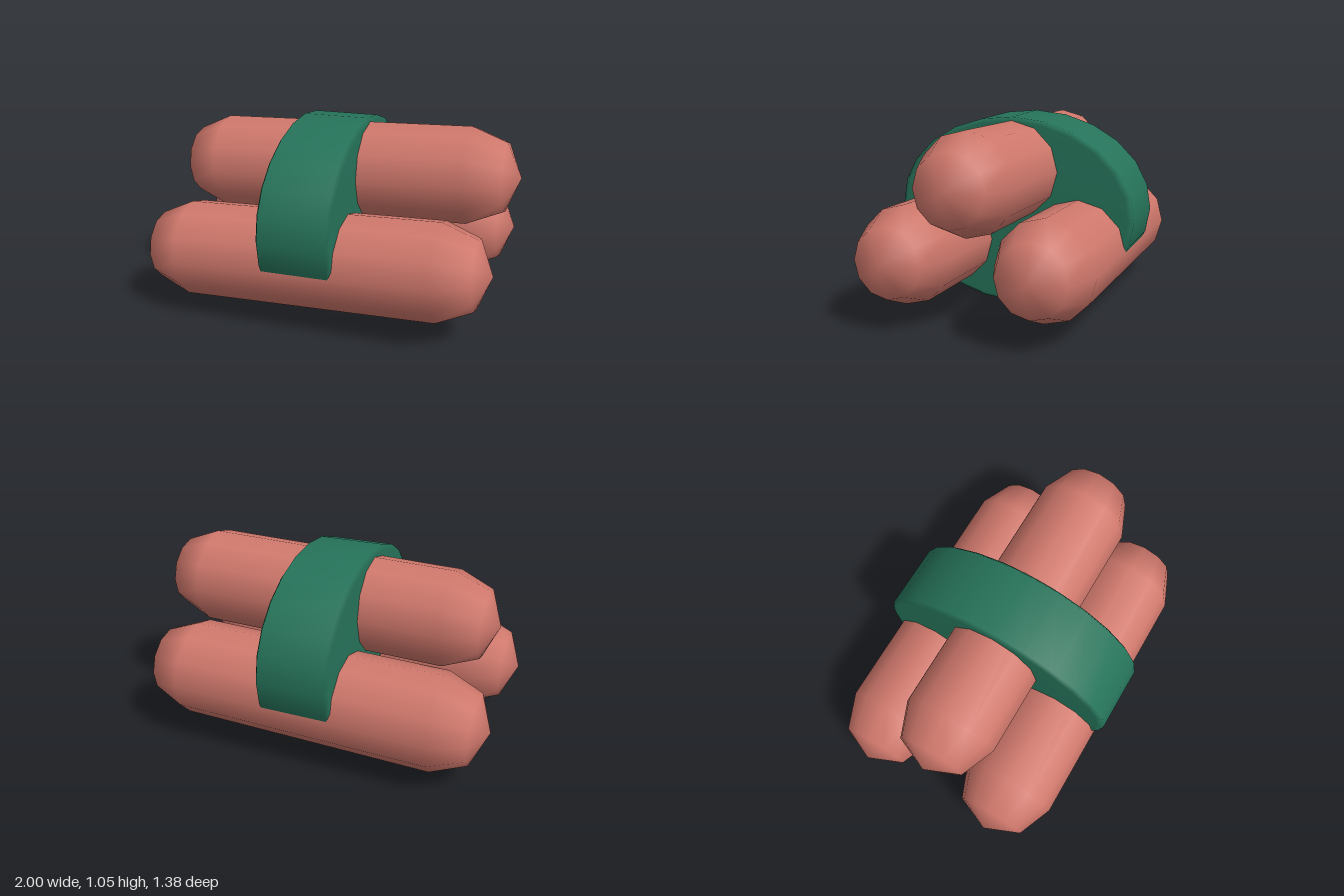
import * as THREE from 'three';

export function createModel() {
  const group = new THREE.Group();
  const salmon = new THREE.MeshStandardMaterial({ color: 0xd0786c });
  salmon.name = 'salmon';
  const green = new THREE.MeshStandardMaterial({ color: 0x26735a });
  green.name = 'green';

  // Three rounded rolls, stacked in a triangle and slightly raised at the left end
  const rollGeometry = new THREE.CapsuleGeometry(0.266, 1.405, 2, 12);
  rollGeometry.rotateZ(-Math.PI / 2);
  const rolls = [
    ['frontRoll', -0.032, 0.355, 0.385],
    ['backRoll', -0.032, 0.355, -0.385],
    ['topRoll', 0.03, 0.765, 0],
  ];
  for (const [name, x, y, z] of rolls) {
    const roll = new THREE.Mesh(rollGeometry, salmon);
    roll.name = name;
    roll.position.set(x, y, z);
    roll.rotation.z = 0.031;
    group.add(roll);
  }

  // Oval wrap around the middle, with softened rims
  const profile = [
    [0, -0.206], [0.955, -0.2], [1, -0.183],
    [1, 0.183], [0.955, 0.2], [0, 0.206],
  ].map(([r, h]) => new THREE.Vector2(r, h));
  const wrapGeometry = new THREE.LatheGeometry(profile, 24);
  wrapGeometry.rotateZ(-Math.PI / 2);
  wrapGeometry.scale(1, 0.526, 0.69);
  const wrap = new THREE.Mesh(wrapGeometry, green);
  wrap.name = 'wrapBand';
  wrap.position.set(-0.033, 0.528, 0);
  group.add(wrap);

  return group;
}
